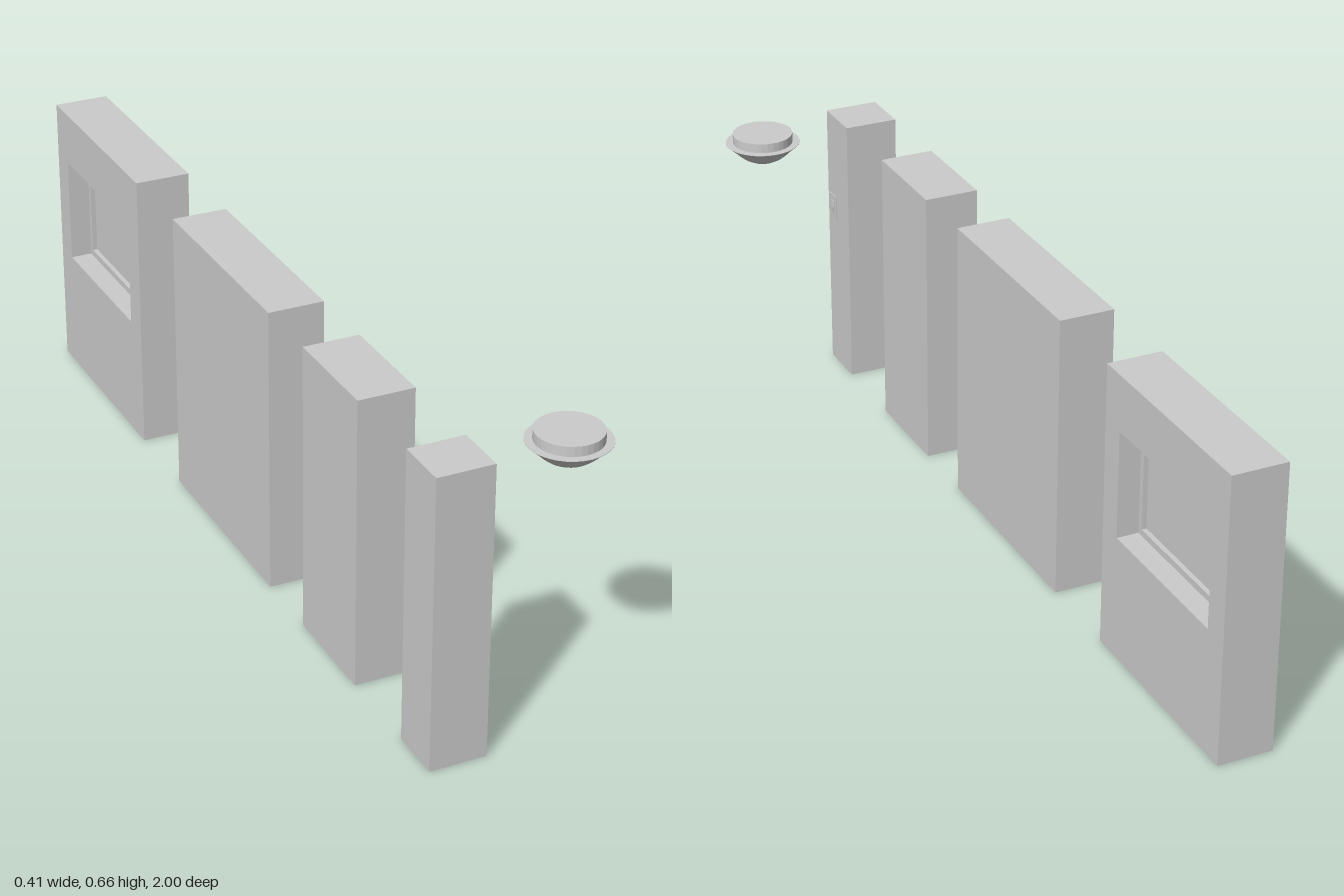
import * as THREE from 'three';

const grey = new THREE.MeshStandardMaterial({ color: 0xcccccc, flatShading: true, side: THREE.DoubleSide });
const HEIGHT = 0.663, X0 = -0.205, X1 = -0.078, XM = (X0 + X1) / 2;

function add(parent, name, geometry) {
  const mesh = new THREE.Mesh(geometry, grey);
  mesh.name = name;
  parent.add(mesh);
  return mesh;
}

// box from its minimum and maximum corners
function box(parent, name, [ax, ay, az], [bx, by, bz]) {
  const mesh = add(parent, name, new THREE.BoxGeometry(bx - ax, by - ay, bz - az));
  mesh.position.set((ax + bx) / 2, (ay + by) / 2, (az + bz) / 2);
  return mesh;
}

function rect(path, z0, y0, z1, y1) {
  // shape x runs along -z once the panel is turned to face +x
  path.moveTo(-z0, y0);
  path.lineTo(-z1, y0);
  path.lineTo(-z1, y1);
  path.lineTo(-z0, y1);
  path.closePath();
  return path;
}

// upright panel in the y-z plane with a rectangular hole
function holedPanel(parent, name, outer, hole, x0, x1) {
  const shape = rect(new THREE.Shape(), ...outer);
  shape.holes.push(rect(new THREE.Path(), ...hole));
  const geometry = new THREE.ExtrudeGeometry(shape, { depth: x1 - x0, bevelEnabled: false });
  geometry.rotateY(Math.PI / 2);
  geometry.translate(x0, 0, 0);
  return add(parent, name, geometry);
}

export function createModel() {
  const model = new THREE.Group();

  // row of plain wall pieces, largest z first
  const walls = [
    ['post', 0.85, 0.973],
    ['narrowWall', 0.39, 0.641],
    ['wideWall', -0.283, 0.223],
  ];
  for (const [name, z0, z1] of walls) box(model, name, [X0, 0, z0], [X1, HEIGHT, z1]);

  // wall with a window set in the middle of its thickness
  const windowWall = new THREE.Group();
  windowWall.name = 'windowWall';
  model.add(windowWall);
  const opening = [-0.938, 0.286, -0.555, 0.536];
  const paneArea = [-0.925, 0.301, -0.569, 0.526];
  holedPanel(windowWall, 'wallWithOpening', [-1, 0, -0.494, HEIGHT], opening, X0, X1);
  holedPanel(windowWall, 'windowFrame', opening, paneArea, XM - 0.013, XM + 0.013);
  box(windowWall, 'windowPane', [XM - 0.002, paneArea[1], paneArea[0]], [XM + 0.002, paneArea[3], paneArea[2]]);

  // switch floating just off the post
  const wallSwitch = new THREE.Group();
  wallSwitch.name = 'wallSwitch';
  model.add(wallSwitch);
  box(wallSwitch, 'switchPlate', [-0.0665, 0.404, 0.894], [-0.064, 0.467, 0.932]);
  const rocker = new THREE.Shape([[-0.065, 0.42], [-0.0635, 0.42], [-0.062, 0.436], [-0.0635, 0.452], [-0.065, 0.452]]
    .map(([x, y]) => new THREE.Vector2(x, y)));
  const rockerGeometry = new THREE.ExtrudeGeometry(rocker, { depth: 0.016, bevelEnabled: false });
  add(wallSwitch, 'switchRocker', rockerGeometry.translate(0, 0, 0.905));

  // ceiling lamp: round base, brim and shallow bowl
  const lamp = new THREE.Group();
  lamp.name = 'ceilingLamp';
  lamp.position.set(0.113, 0, 0.912);
  model.add(lamp);
  add(lamp, 'lampBase', new THREE.CylinderGeometry(0.071, 0.071, 0.022, 32)).position.y = 0.651;
  const profile = [[0, 0.589], [0.016, 0.5905], [0.032, 0.595], [0.047, 0.603], [0.06, 0.613],
    [0.073, 0.626], [0.088, 0.639], [0.088, 0.64], [0, 0.64]].map(([r, y]) => new THREE.Vector2(r, y));
  add(lamp, 'lampBowl', new THREE.LatheGeometry(profile, 32));

  return model;
}
